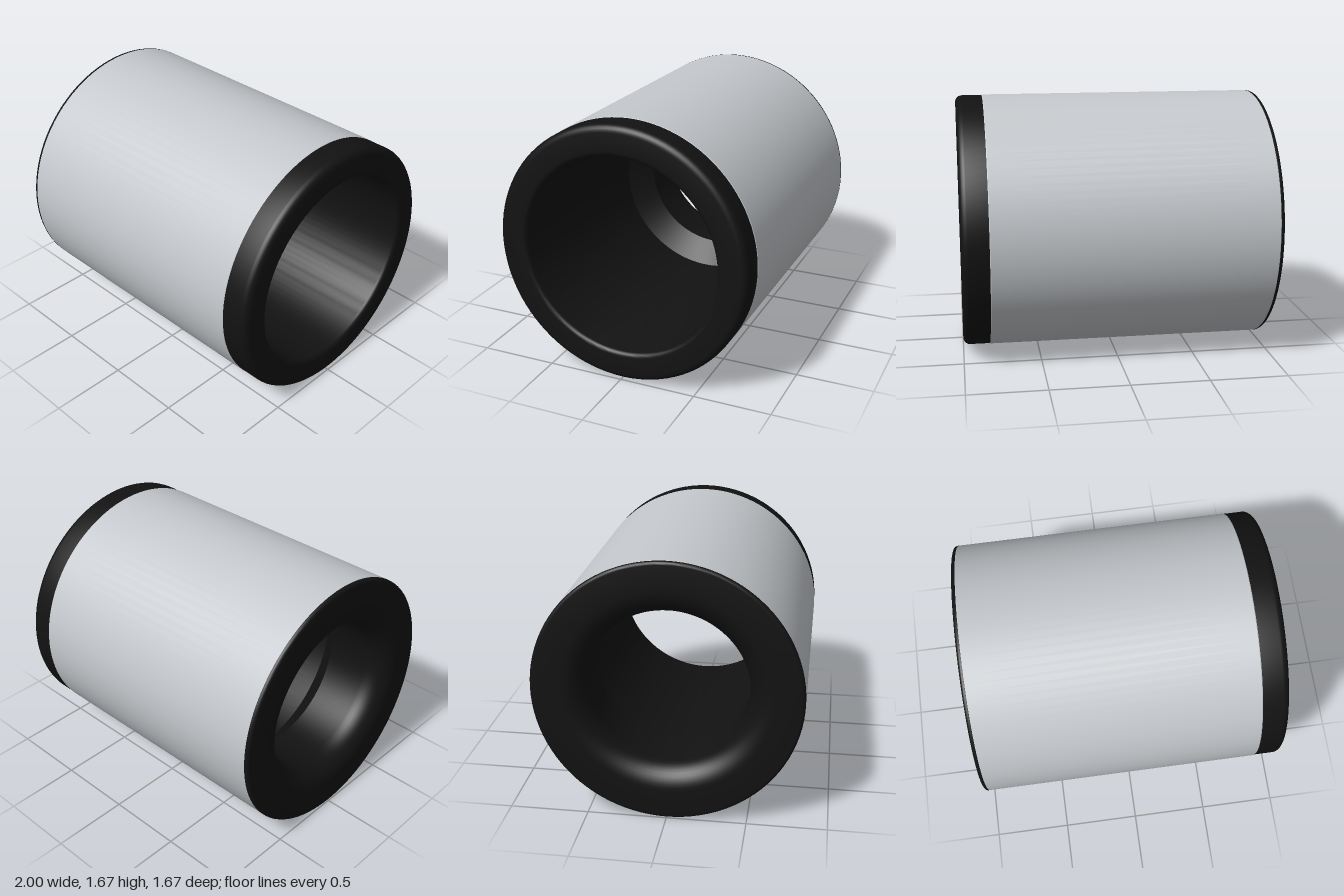
import * as THREE from 'three';
import { toCreasedNormals } from 'three/addons/utils/BufferGeometryUtils.js';

const RADIUS = 0.835;

// Rounded corner as profile points: centre (r, x), from angle a to b in degrees
function arc(r, x, radius, a, b, steps = 6) {
  return Array.from({ length: steps + 1 }, (_, i) => {
    const t = THREE.MathUtils.degToRad(a + ((b - a) * i) / steps);
    return new THREE.Vector2(r + radius * Math.cos(t), x + radius * Math.sin(t));
  });
}

// Closed profile (radius, position along x) turned around the x axis
function turned(name, profile, color) {
  const lathe = new THREE.LatheGeometry([...profile, profile[0].clone()], 96);
  const geometry = toCreasedNormals(lathe, 0.5).rotateZ(-Math.PI / 2);
  const mesh = new THREE.Mesh(geometry, new THREE.MeshStandardMaterial({ color }));
  mesh.name = name;
  return mesh;
}

export function createModel() {
  const group = new THREE.Group();
  group.name = 'bushing';
  const p = (r, x) => new THREE.Vector2(r, x);

  // Dark liner: flange and wide bore at +x, sloped shoulder, narrow throat with a flared mouth at -x
  const liner = [
    ...arc(0.815, -0.98, 0.02, -90, 0),
    p(0.835, -0.975),
    p(0.81, -0.975),
    p(0.81, 0.825),
    p(0.832, 0.825),
    ...arc(0.787, 0.955, 0.045, 0, 90),
    ...arc(0.67, 0.97, 0.03, 90, 180),
    p(0.64, -0.43),
    p(0.5, -0.57),
    ...arc(0.65, -0.85, 0.15, 180, 270, 10),
  ];
  group.add(turned('liner', liner, 0x121212));

  // Outer sleeve with lightly bevelled ends
  const sleeve = [
    p(0.81, -0.98),
    p(RADIUS - 0.005, -0.98),
    p(RADIUS, -0.972),
    p(RADIUS, 0.822),
    p(RADIUS - 0.005, 0.83),
    p(0.81, 0.83),
  ];
  group.add(turned('sleeve', sleeve, 0xc4c8cc));

  group.position.y = RADIUS;
  const root = new THREE.Group();
  root.add(group);
  return root;
}
